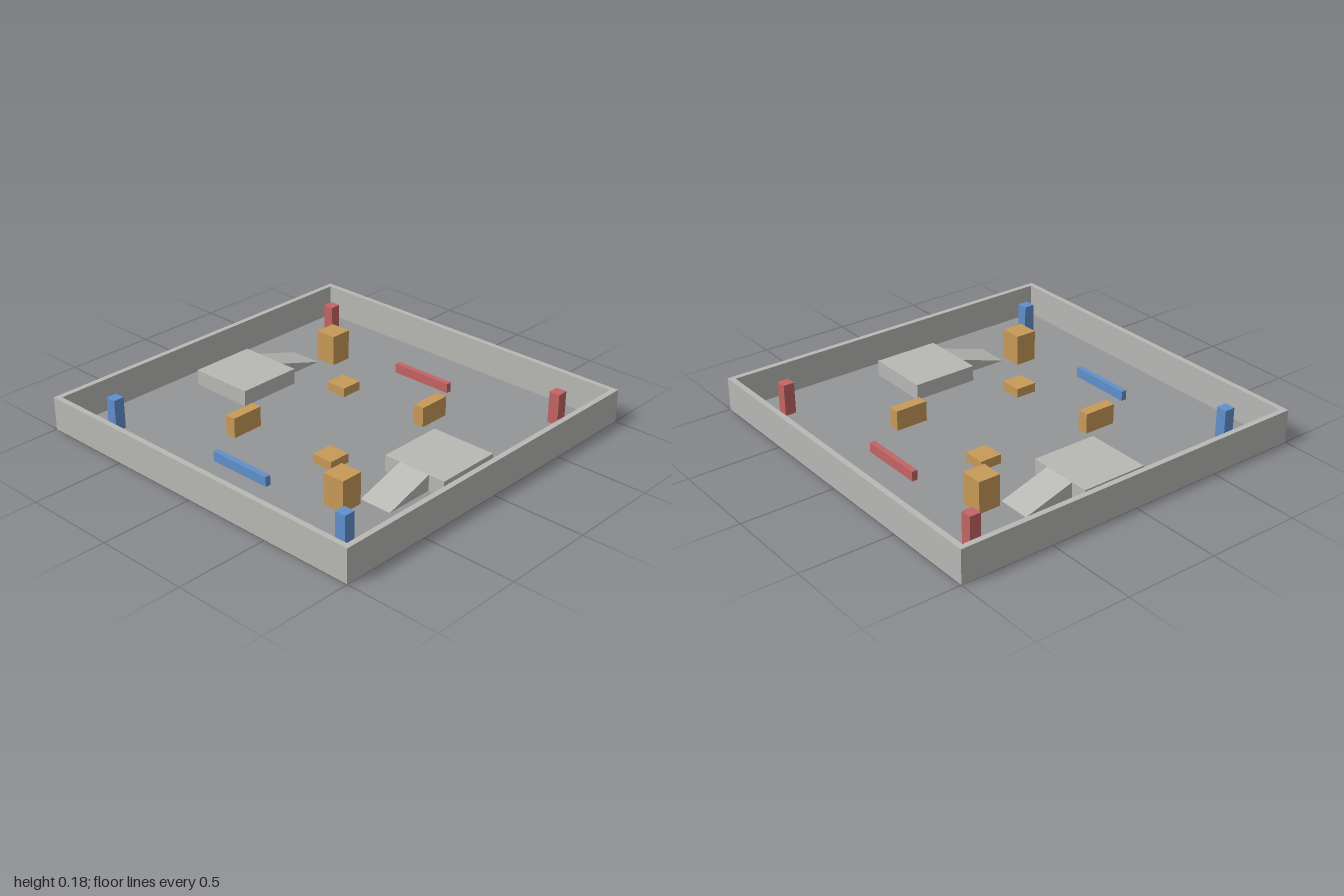
import * as THREE from 'three';

const mat = (name, color) => {
  const m = new THREE.MeshStandardMaterial({ color });
  m.name = name;
  return m;
};

export function createModel() {
  const stone = mat('pale grey', 0xb8b8b5);
  const ground = mat('floor grey', 0x949598);
  const wood = mat('crate tan', 0xc89a58);
  const red = mat('team red', 0xc46464);
  const blue = mat('team blue', 0x6090cc);

  const arena = new THREE.Group();
  arena.name = 'arena';
  const BASE = 0.004; // top of the thin floor plate

  const add = (parent, name, geometry, material) => {
    const mesh = new THREE.Mesh(geometry, material);
    mesh.name = name;
    parent.add(mesh);
    return mesh;
  };

  // Box standing on the floor, with its top at the given height
  const block = (parent, name, material, [w, top, d], x, z, bottom = BASE) => {
    const mesh = add(parent, name, new THREE.BoxGeometry(w, top - bottom, d), material);
    mesh.position.set(x, (top + bottom) / 2, z);
  };

  // Floor plate
  block(arena, 'floor', ground, [1.94, BASE, 1.94], 0, 0, 0);

  // Square boundary wall with an open middle
  const square = (Type, r) => new Type().setFromPoints(
    [[-r, -r], [r, -r], [r, r], [-r, r]].map(([x, y]) => new THREE.Vector2(x, y)));
  const outline = square(THREE.Shape, 1);
  outline.holes.push(square(THREE.Path, 0.97));
  const wallGeometry = new THREE.ExtrudeGeometry(outline, { depth: 0.18, bevelEnabled: false });
  add(arena, 'boundaryWall', wallGeometry.rotateX(-Math.PI / 2), stone);

  // Ramp wedge: profile runs away from the platform and down to the floor
  const profile = new THREE.Shape();
  profile.moveTo(-0.18, BASE);
  profile.lineTo(-0.18, 0.09);
  profile.lineTo(-0.455, BASE);
  const rampGeometry = new THREE.ExtrudeGeometry(profile, { depth: 0.18, bevelEnabled: false });
  rampGeometry.rotateY(-Math.PI / 2);

  // Two halves, each the other turned half way round
  [['blue', blue, 0], ['red', red, Math.PI]].forEach(([team, paint, turn]) => {
    const half = new THREE.Group();
    half.name = `${team}Half`;
    half.rotation.y = turn;
    arena.add(half);

    // Corner posts and low barrier in the team colour
    for (const side of [-1, 1]) {
      block(half, 'cornerPost', paint, [0.06, 0.176, 0.06], side * 0.785, 0.785);
    }
    block(half, 'barrier', paint, [0.36, 0.057, 0.03], 0, 0.665);

    // Crates: tall, low and narrow
    block(half, 'tallCrate', wood, [0.12, 0.173, 0.12], 0.545, 0.545);
    block(half, 'lowCrate', wood, [0.12, 0.054, 0.12], 0.242, 0.303);
    block(half, 'narrowCrate', wood, [0.06, 0.113, 0.18], -0.303, 0.364);

    // Raised platform and its ramp
    block(half, 'platform', stone, [0.364, 0.09, 0.364], -0.667, 0);
    add(half, 'ramp', rampGeometry, stone).position.x = -0.577;
  });

  return arena;
}
